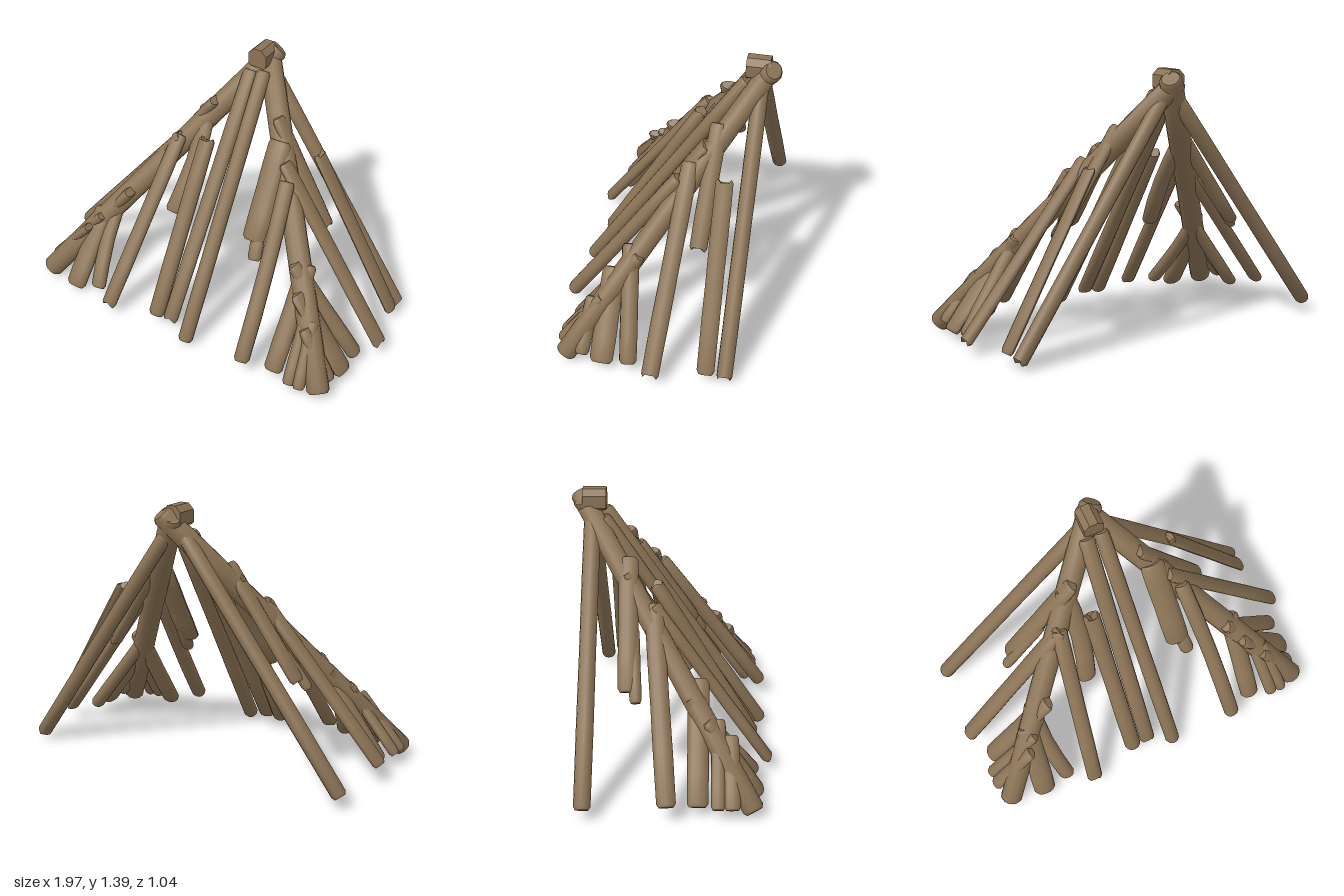
import * as THREE from 'three';
import { toCreasedNormals } from 'three/addons/utils/BufferGeometryUtils.js';

const V = (p) => new THREE.Vector3(...p);
const SIDES = 12;

// A rough log from a (top) to b (bottom): oval section, bevelled ends,
// optional sideways bend and V-shaped splits at either end.
function logGeometry(a, b, width, depth, across, { bend = 0, splitTop = 0, splitEnd = 0, taper = 1 } = {}) {
  const A = V(a), B = V(b);
  const d = B.clone().sub(A), len = d.length();
  d.normalize();
  const w = V(across).addScaledVector(d, -V(across).dot(d)).normalize();
  const n = d.clone().cross(w);
  const bevel = 0.018 / len;
  // [position along the log, section scale]
  const rings = [[0, 0.78], [bevel, 1], [0.25, 1.03], [0.5, 1], [0.75, 1.03], [1 - bevel, 1], [1, 0.78]];
  const pos = [], idx = [];
  const put = (t, u, v, shift) => {
    const p = A.clone().addScaledVector(d, t * len + shift)
      .addScaledVector(w, u + bend * Math.sin(Math.PI * t)).addScaledVector(n, v);
    pos.push(p.x, p.y, p.z);
  };
  rings.forEach(([t, s], r) => {
    const k = s * (taper + (1 - taper) * t);
    for (let i = 0; i < SIDES; i++) {
      const ang = (i / SIDES) * Math.PI * 2;
      const c = Math.cos(ang);
      const notch = 1 - Math.abs(c);
      const shift = r === 0 ? splitTop * notch : r === rings.length - 1 ? -splitEnd * notch : 0;
      put(t, c * k * width / 2, Math.sin(ang) * k * depth / 2, shift);
    }
  });
  const last = (rings.length - 1) * SIDES, c0 = rings.length * SIDES, c1 = c0 + 1;
  put(0, 0, 0, splitTop);
  put(1, 0, 0, -splitEnd);
  for (let i = 0; i < SIDES; i++) {
    const j = (i + 1) % SIDES;
    for (let r = 0; r < last; r += SIDES) {
      idx.push(r + i, r + j, r + SIDES + j, r + i, r + SIDES + j, r + SIDES + i);
    }
    idx.push(c0, j, i, c1, last + i, last + j);
  }
  const g = new THREE.BufferGeometry();
  g.setAttribute('position', new THREE.Float32BufferAttribute(pos, 3));
  g.setIndex(idx);
  return toCreasedNormals(g, 0.9);
}

export function createModel() {
  const model = new THREE.Group();
  model.name = 'logShelter';
  const bark = new THREE.MeshStandardMaterial({ color: 0x8b7355 });
  bark.name = 'bark brown';

  const X = [1, 0, 0], Z = [0, 0, 1];
  const section = (name, across, logs) => {
    const group = new THREE.Group();
    group.name = name;
    logs.forEach(([a, b, width, depth, options], i) => {
      const mesh = new THREE.Mesh(logGeometry(a, b, width, depth, across, options), bark);
      mesh.name = `${name}Log${i + 1}`;
      group.add(mesh);
    });
    model.add(group);
  };

  // Two heavy corner poles meeting at the peak
  section('cornerPole', X, [
    [[0.03, 1.37, -0.49], [-0.9, 0.05, 0.41], 0.12, 0.11],
    [[-0.03, 1.36, -0.48], [0.87, 0.05, 0.41], 0.12, 0.11],
  ]);

  // Rear poles framing the open back
  section('rearPole', Z, [
    [[0, 1.34, -0.42], [-0.955, 0.08, -0.43], 0.085, 0.075],
    [[-0.02, 1.34, -0.43], [0.88, 0.05, -0.425], 0.08, 0.075, { splitEnd: 0.06 }],
  ]);

  // Front wall, right to left
  section('frontWall', X, [
    [[-0.67, 0.43, 0.17], [-0.7, 0.04, 0.44], 0.12, 0.07],
    [[-0.61, 0.52, 0.08], [-0.55, 0.08, 0.42], 0.085, 0.065, { bend: -0.02 }],
    [[-0.34, 0.9, -0.1], [-0.42, 0.07, 0.5], 0.085, 0.06, { splitEnd: 0.02 }],
    [[-0.25, 1.04, -0.24], [-0.27, 0.52, 0.08], 0.1, 0.06, { bend: 0.025 }],
    [[-0.16, 0.95, -0.1], [-0.15, 0.08, 0.42], 0.09, 0.075, { splitTop: 0.04 }],
    [[-0.06, 1.27, -0.36], [-0.06, 0.08, 0.42], 0.085, 0.06, { splitEnd: 0.02 }],
    [[0.02, 1.29, -0.36], [0.075, 0.045, 0.47], 0.08, 0.075],
    [[0.23, 1.02, -0.2], [0.26, 0.57, 0.1], 0.13, 0.07],
    [[0.25, 0.75, -0.03], [0.3, 0.49, 0.15], 0.075, 0.055],
    [[0.35, 0.88, -0.08], [0.44, 0.1, 0.48], 0.085, 0.075, { bend: 0.01 }],
    [[0.58, 0.54, 0.07], [0.59, 0.06, 0.41], 0.105, 0.075],
    [[0.67, 0.38, 0.2], [0.71, 0.06, 0.45], 0.07, 0.06],
    [[0.72, 0.34, 0.24], [0.77, 0.06, 0.45], 0.065, 0.06],
  ]);

  // Wall on the model's left
  section('leftWall', Z, [
    [[0.39, 0.94, -0.32], [0.89, 0.08, -0.33], 0.09, 0.045, { splitTop: 0.04 }],
    [[0.18, 1.12, -0.25], [0.53, 0.57, -0.215], 0.09, 0.055, { splitEnd: 0.03 }],
    [[0.3, 0.95, -0.13], [0.97, 0.075, -0.06], 0.09, 0.055, { splitEnd: 0.05 }],
    [[0.53, 0.56, 0.13], [0.89, 0.07, 0.07], 0.09, 0.07],
    [[0.6, 0.45, 0.2], [0.9, 0.06, 0.21], 0.12, 0.06],
    [[0.7, 0.32, 0.29], [0.88, 0.08, 0.32], 0.08, 0.06],
  ]);

  // Wall on the model's right
  section('rightWall', Z, [
    [[-0.2, 1.1, -0.23], [-0.6, 0.54, -0.22], 0.1, 0.06],
    [[-0.4, 0.8, -0.2], [-0.64, 0.5, -0.18], 0.06, 0.05],
    [[-0.33, 0.9, -0.1], [-0.97, 0.11, -0.02], 0.095, 0.06],
    [[-0.52, 0.58, 0.13], [-0.9, 0.07, 0.13], 0.105, 0.06],
    [[-0.65, 0.42, 0.23], [-0.94, 0.08, 0.23], 0.07, 0.05],
    [[-0.7, 0.36, 0.29], [-0.94, 0.08, 0.3], 0.08, 0.05],
  ]);

  // Peg at the peak: a square stub with chamfered corners
  const h = 0.053, c = 0.03;
  const outline = new THREE.Shape([
    [-h, -h + 0.012], [-h + 0.012, -h], [h - 0.012, -h], [h, -h + 0.012],
    [h, h - c], [h - c, h], [-h + c, h], [-h, h - c],
  ].map(([x, y]) => new THREE.Vector2(x, y)));
  const peg = new THREE.Mesh(new THREE.ExtrudeGeometry(outline, { depth: 0.12, bevelEnabled: false }), bark);
  peg.name = 'peakPeg';
  peg.position.set(-0.018, 1.357, -0.47);
  model.add(peg);

  return model;
}
